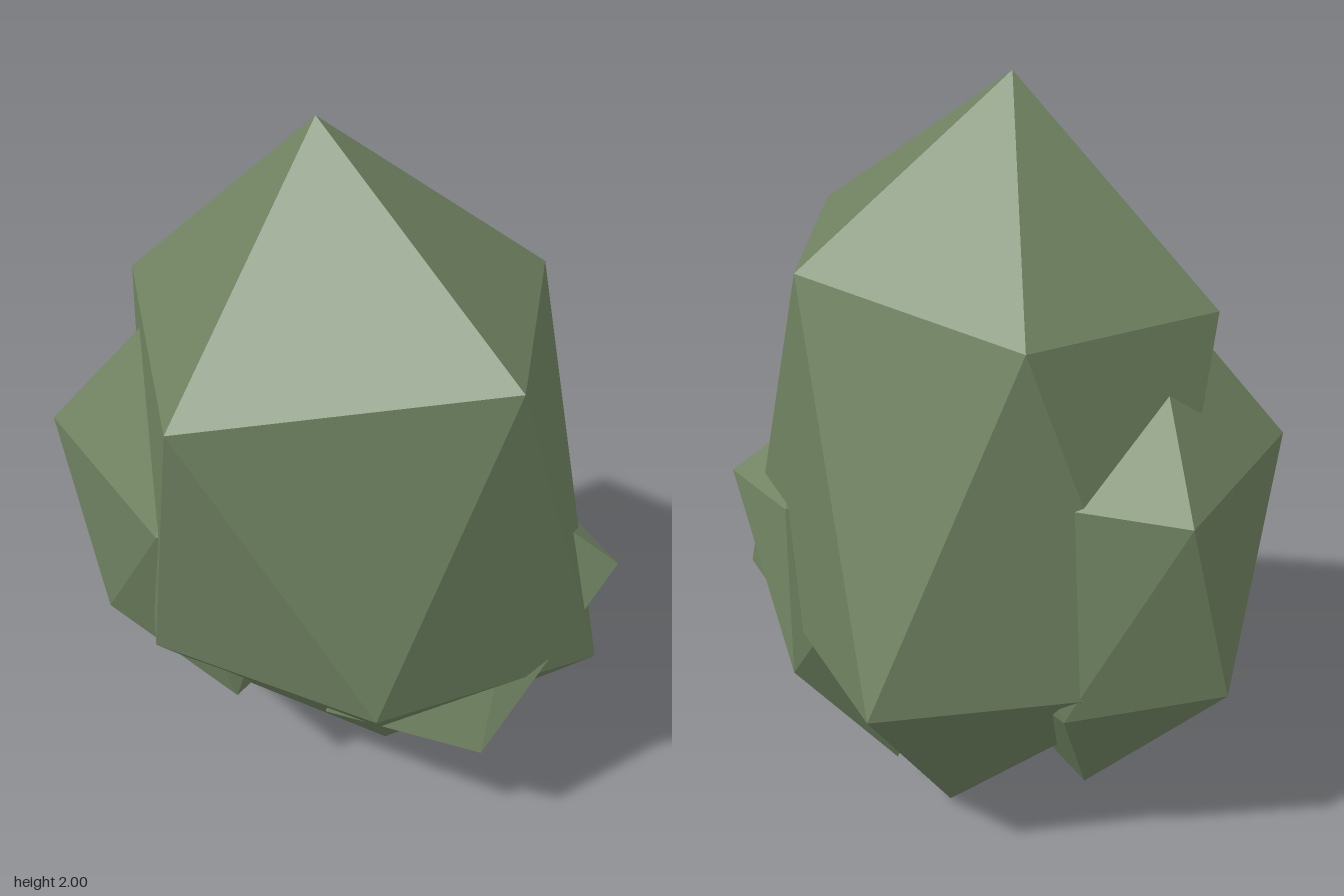
import * as THREE from 'three';
import { ConvexGeometry } from 'three/addons/geometries/ConvexGeometry.js';

const stone = new THREE.MeshStandardMaterial({ color: 0x6f8260 });
stone.name = 'mossy stone';

// Irregular twenty-sided rock: a tip, two staggered rings of five and a foot
function rockGeometry(top, upper, lower, bottom) {
  const pos = [];
  const tri = (...corners) => corners.forEach((p) => pos.push(...p));
  for (let i = 0; i < 5; i++) {
    const j = (i + 1) % 5;
    tri(top, upper[i], upper[j]);
    tri(upper[i], lower[i], upper[j]);
    tri(lower[i], lower[j], upper[j]);
    tri(bottom, lower[j], lower[i]);
  }
  const g = new THREE.BufferGeometry();
  g.setAttribute('position', new THREE.Float32BufferAttribute(pos, 3));
  g.computeVertexNormals();
  return g;
}

export function createModel() {
  const group = new THREE.Group();
  group.name = 'rockCluster';
  const add = (name, geometry) => {
    const mesh = new THREE.Mesh(geometry, stone);
    mesh.name = name;
    group.add(mesh);
  };

  // Tall central boulder
  add('mainBoulder', rockGeometry(
    [-0.03, 2, 0.13],
    [[0.475, 1.575, 0.49], [0.475, 1.57, -0.1], [-0.08, 1.51, -0.43], [-0.53, 1.48, -0.07], [-0.3, 1.4, 0.52]],
    [[0.69, 0.62, 0.2], [0.29, 0.59, -0.52], [-0.4, 0.59, -0.37], [-0.43, 0.575, 0.3], [0.18, 0.61, 0.52]],
    [0.13, 0, -0.04]));

  // Smaller boulder leaning into the side
  add('sideBoulder', rockGeometry(
    [-0.36, 1.53, 0.07],
    [[-0.02, 1.12, 0.26], [-0.02, 1.12, -0.37], [-0.465, 1.105, -0.47], [-0.725, 1.1, 0.07], [-0.38, 1.0, 0.385]],
    [[0.125, 0.61, -0.15], [-0.18, 0.52, -0.4], [-0.58, 0.59, -0.37], [-0.585, 0.59, 0.185], [-0.22, 0.43, 0.3]],
    [-0.24, 0.18, -0.18]));

  // Embedded shard whose corners break through the main boulder
  const shard = [
    [0.72, 0.91, 0.18], [0.52, 0.51, -0.19], [0.28, 0.11, 0], [0.43, 0.41, 0.38],
    [0.03, 0.49, 0.38], [0.5, 1.08, 0.2], [0.54, 0.92, -0.06], [0.2, 0.9, 0.1],
  ];
  add('embeddedShard', new ConvexGeometry(shard.map((p) => new THREE.Vector3(...p))));

  return group;
}
